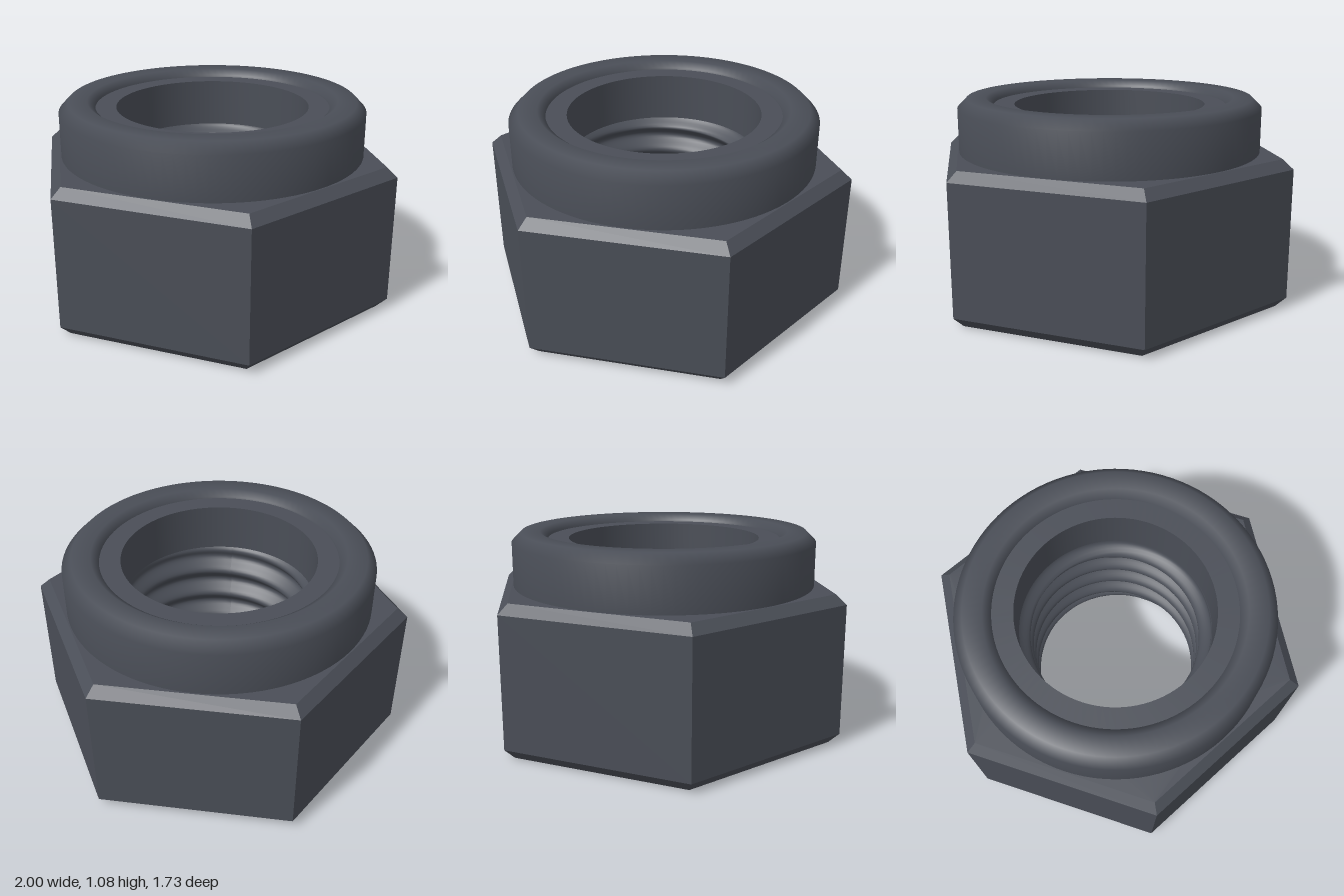
import * as THREE from 'three';

const steel = new THREE.MeshStandardMaterial({ color: 0x4a4e57 });
steel.name = 'darkSteel';

// Revolved part; a profile running upward faces outward, downward faces the bore.
function lathe(points, segments = 96, phiStart = 0) {
  return new THREE.LatheGeometry(points.map(([r, y]) => new THREE.Vector2(r, y)), segments, phiStart);
}

function part(name, geometry) {
  const mesh = new THREE.Mesh(geometry, steel);
  mesh.name = name;
  return mesh;
}

// Flat hexagon with a round hole, facing up or down at height y.
function hexFace(radius, hole, y, up) {
  const corners = [];
  for (let i = 0; i < 6; i++) {
    const a = (i * Math.PI) / 3;
    corners.push(new THREE.Vector2(radius * Math.cos(a), radius * Math.sin(a)));
  }
  const shape = new THREE.Shape(corners);
  shape.holes.push(new THREE.Path().absarc(0, 0, hole, 0, Math.PI * 2, true));
  const g = new THREE.ShapeGeometry(shape, 96);
  g.rotateX(up ? -Math.PI / 2 : Math.PI / 2);
  return g.translate(0, y, 0);
}

// Bore wall whose radius follows a helical ridge, fading out at both ends.
function threadGeometry(top, bottom, root, crest, pitch) {
  const rows = 72;
  const profile = [];
  for (let i = 0; i <= rows; i++) profile.push([root, top + ((bottom - top) * i) / rows]);
  const g = lathe(profile);
  const pos = g.attributes.position;
  for (let i = 0; i < pos.count; i++) {
    const y = pos.getY(i);
    const angle = Math.atan2(pos.getX(i), pos.getZ(i));
    const wave = 0.5 + 0.5 * Math.cos(2 * Math.PI * (y / pitch) - angle);
    const fade = Math.min(1, (top - y) / 0.05, (y - bottom) / 0.05);
    const r = root - (root - crest) * wave * Math.max(0, fade);
    pos.setXYZ(i, r * Math.sin(angle), y, r * Math.cos(angle));
  }
  g.computeVertexNormals();
  return g;
}

export function createModel() {
  const nut = new THREE.Group();
  nut.name = 'lockNut';

  // Hexagonal body with chamfered rims
  const body = new THREE.Group();
  body.name = 'hexBody';
  const sides = lathe([[0.943, 0], [1, 0.055], [1, 0.75], [0.943, 0.8]], 6, Math.PI / 6).toNonIndexed();
  sides.computeVertexNormals();
  body.add(
    part('hexSides', sides),
    part('hexTop', hexFace(0.943, 0.7, 0.8, true)),
    part('hexBottom', hexFace(0.943, 0.55, 0, false)),
  );
  nut.add(body);

  // Round collar rolled over at the top
  nut.add(part('collar', lathe([
    [0.81, 0.8], [0.81, 1.03], [0.76, 1.08], [0.66, 1.08], [0.62, 1.05], [0.62, 1.0],
  ])));

  // Locking ring seated inside the collar
  const insert = new THREE.Group();
  insert.name = 'lockingRing';
  insert.add(
    part('ringTop', lathe([[0.63, 1.04], [0.51, 1.04]])),
    part('ringBore', lathe([[0.51, 1.04], [0.51, 0.78]])),
  );
  nut.add(insert);

  // Threaded bore and its flared entry underneath
  nut.add(
    part('thread', threadGeometry(0.78, 0.06, 0.51, 0.45, 0.16)),
    part('boreEntry', lathe([[0.51, 0.06], [0.55, 0]])),
  );
  return nut;
}
